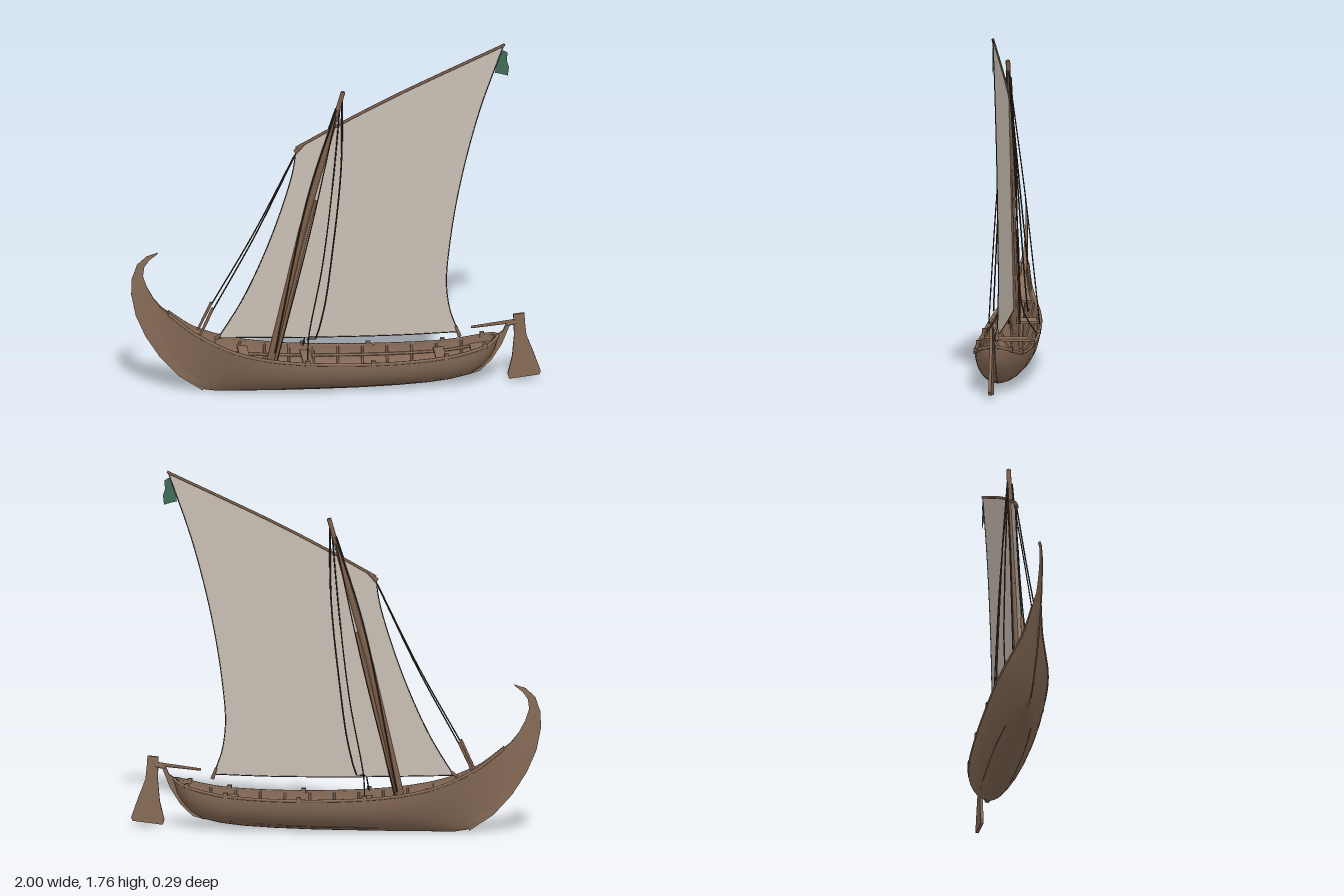
import * as THREE from 'three';
import { toCreasedNormals } from 'three/addons/utils/BufferGeometryUtils.js';

const mat = (name, color) =>
  new THREE.MeshStandardMaterial({ name, color, side: THREE.DoubleSide });

// Hull stations: x, half width, gunwale height, keel height, V-shape amount
const STATIONS = [
  [-0.88, 0.009, 0.47, 0.24, 1], [-0.82, 0.022, 0.42, 0.15, 1], [-0.76, 0.034, 0.37, 0.09, 1],
  [-0.7, 0.048, 0.325, 0.045, 0.9], [-0.64, 0.066, 0.293, 0.014, 0.75], [-0.58, 0.084, 0.265, 0.004, 0.6],
  [-0.5, 0.106, 0.235, 0.003, 0.4], [-0.4, 0.123, 0.21, 0.003, 0.2], [-0.28, 0.133, 0.19, 0.003, 0.05],
  [-0.1, 0.139, 0.174, 0.004, 0], [0.1, 0.14, 0.166, 0.005, 0], [0.3, 0.134, 0.166, 0.01, 0],
  [0.45, 0.124, 0.172, 0.018, 0], [0.56, 0.112, 0.182, 0.03, 0], [0.65, 0.1, 0.198, 0.05, 0],
  [0.71, 0.086, 0.213, 0.088, 0.1], [0.75, 0.068, 0.226, 0.132, 0.2], [0.775, 0.044, 0.236, 0.175, 0.3],
  [0.79, 0.012, 0.242, 0.225, 0.4],
];

function station(x) {
  let i = 0;
  while (i < STATIONS.length - 2 && STATIONS[i + 1][0] < x) i++;
  const a = STATIONS[i], b = STATIONS[i + 1];
  const t = THREE.MathUtils.clamp((x - a[0]) / (b[0] - a[0]), 0, 1);
  const [, w, s, k, v] = a.map((n, j) => n + (b[j] - n) * t);
  return { w, s, k, v };
}

// Half width of a section at height fraction f
const flare = (f, v) => (1 - v) * Math.sqrt(Math.max(0, 1 - (1 - f) ** 2)) + v * f;
const halfAt = (x, y) => {
  const { w, s, k, v } = station(x);
  return w * flare(THREE.MathUtils.clamp((y - k) / (s - k), 0, 1), v);
};

// Skin closed rings of equal length, with both ends capped
function loft(rings, crease = 0.7) {
  const n = rings[0].length, index = [];
  for (let i = 0; i < rings.length - 1; i++)
    for (let j = 0; j < n; j++) {
      const a = i * n + j, b = i * n + (j + 1) % n;
      index.push(a, b, a + n, b, b + n, a + n);
    }
  if (n < 5) {
    const e = (rings.length - 1) * n;
    for (let j = 1; j < n - 1; j++) index.push(0, j + 1, j, e, e + j, e + j + 1);
  }
  const g = new THREE.BufferGeometry();
  g.setAttribute('position', new THREE.Float32BufferAttribute(rings.flat(2), 3));
  g.setIndex(index);
  return toCreasedNormals(g, crease);
}

function hullRing(x) {
  const { w, s, k, v } = station(x), N = 10, outer = [], inner = [];
  const wi = Math.max(0.001, w - 0.011), ki = Math.min(k + 0.016, s - 0.004);
  for (let i = -N; i <= N; i++) {
    const f = 1 - Math.cos(Math.abs(i) / N * Math.PI / 2), z = Math.sign(i) * flare(f, v);
    outer.push([x, k + (s - k) * f, w * z]);
    inner.unshift([x, ki + (s - ki) * f, wi * z]);
  }
  return outer.concat(inner);
}

export function createModel() {
  const model = new THREE.Group();
  model.name = 'sailingBoat';
  const wood = mat('hullWood', 0x876b57);
  const spar = mat('sparWood', 0x7d5f4a);
  const cloth = mat('sailCloth', 0xc9bfb4);
  const rope = mat('darkRope', 0x40362e);
  const green = mat('pennantGreen', 0x3f6b57);

  const add = (name, geometry, material) => {
    const m = new THREE.Mesh(geometry, material);
    m.name = name;
    model.add(m);
    return m;
  };
  const V = p => new THREE.Vector3(...p);
  const tube = (name, pts, r, material, seg = 24) => add(name,
    new THREE.TubeGeometry(new THREE.CatmullRomCurve3(pts.map(V)), seg, r, 6), material);
  const pole = (name, a, b, ra, rb, material) => {
    const d = V(b).sub(V(a));
    const m = add(name, new THREE.CylinderGeometry(rb, ra, d.length(), 10), material);
    m.position.copy(V(a)).addScaledVector(d, 0.5);
    m.quaternion.setFromUnitVectors(new THREE.Vector3(0, 1, 0), d.normalize());
    return m;
  };
  const board = (name, pts, depth, material) => {
    const shape = new THREE.Shape(pts.map(p => new THREE.Vector2(...p)));
    const g = new THREE.ExtrudeGeometry(shape, { depth, bevelEnabled: false });
    return add(name, g.translate(0, 0, -depth / 2), material);
  };

  // Hull shell and gunwales
  add('hull', loft(STATIONS.map(s => hullRing(s[0]))), wood);
  for (const side of [-1, 1])
    tube('gunwale', STATIONS.slice(1).map(([x, w, s]) => [x, s, side * (w - 0.004)]), 0.008, wood, 60);

  // Curled stem: outer edge, inner edge, half thickness
  const stem = [
    [-0.868, 0.735, -0.875, 0.725, 0.002], [-0.925, 0.717, -0.912, 0.697, 0.003],
    [-0.972, 0.675, -0.937, 0.662, 0.004], [-0.998, 0.6, -0.943, 0.615, 0.005],
    [-1, 0.52, -0.925, 0.56, 0.006], [-0.978, 0.41, -0.89, 0.495, 0.008],
    [-0.93, 0.3, -0.845, 0.44, 0.011], [-0.86, 0.19, -0.8, 0.4, 0.012],
    [-0.77, 0.09, -0.75, 0.28, 0.01], [-0.65, 0.008, -0.64, 0.05, 0.006],
  ];
  add('stem', loft(stem.map(([a, b, c, d, t]) =>
    [[a, b, -t * 0.3], [a, b, t * 0.3], [c, d, t], [c, d, -t]])), wood);

  // Flat boards fitted between the hull sides
  const deck = (name, x0, x1, height, inset = 0.008) => {
    const rings = [];
    for (let i = 0; i <= 8; i++) {
      const x = x0 + (x1 - x0) * i / 8, y = height(station(x));
      const z = Math.max(0.002, halfAt(x, y) - inset);
      rings.push([[x, y, -z], [x, y, z], [x, y - 0.012, z], [x, y - 0.012, -z]]);
    }
    add(name, loft(rings), wood);
  };
  deck('foreDeck', -0.82, -0.64, s => s.s - 0.03);
  deck('sternDeck', 0.66, 0.765, s => s.s - 0.03);
  deck('floorBoards', -0.55, 0.66, s => s.k + 0.035, 0.012);
  for (const x of [-0.45, -0.14, 0.51])
    deck('thwart', x - 0.025, x + 0.025, s => s.s - 0.025);

  // Ribs and inner stringers
  for (let x = -0.58; x < 0.66; x += 0.12) {
    const { w, s, k, v } = station(x), pts = [];
    for (let i = -6; i <= 6; i++) {
      const f = 1 - Math.cos(Math.abs(i) / 6 * Math.PI / 2);
      pts.push([x, k + 0.02 + (s - k - 0.024) * f, Math.sign(i) * (w - 0.013) * flare(f, v)]);
    }
    tube('rib', pts, 0.006, wood, 20);
  }
  for (const side of [-1, 1]) {
    const pts = [];
    for (let x = -0.6; x < 0.72; x += 0.1) {
      const { s, k } = station(x), y = s - (s - k) * 0.28;
      pts.push([x, y, side * (halfAt(x, y) - 0.015)]);
    }
    tube('stringer', pts, 0.007, wood, 30);
    // Cleats on the rail
    for (const x of [-0.15, 0.17, 0.53, 0.72]) {
      const { w, s } = station(x);
      add('cleat', new THREE.BoxGeometry(0.022, 0.026, 0.02), wood).position.set(x, s + 0.004, side * (w - 0.005));
    }
  }

  // Stern post, rudder and tiller
  board('sternPost', [[0.64, 0.045], [0.7, 0.062], [0.76, 0.12], [0.81, 0.2], [0.852, 0.305],
    [0.835, 0.31], [0.815, 0.265], [0.77, 0.235], [0.72, 0.13]], 0.016, wood);
  board('rudder', [[0.866, 0.35], [0.92, 0.355], [0.924, 0.3], [0.93, 0.24], [0.965, 0.15], [1, 0.05],
    [0.992, 0.033], [0.845, 0.016], [0.838, 0.04], [0.86, 0.13], [0.87, 0.24]], 0.014, wood);
  pole('tiller', [0.66, 0.29, 0], [0.88, 0.315, 0], 0.006, 0.01, spar);
  pole('rudderPin', [0.83, 0.3, 0], [0.88, 0.31, 0], 0.012, 0.012, wood);

  // Raked mast, its lashed spar and the long yard
  pole('mastFoot', [-0.345, 0.04, 0], [-0.165, 0.83, 0], 0.021, 0.017, spar);
  pole('mastHead', [-0.165, 0.83, 0], [0.035, 1.54, 0], 0.017, 0.011, spar);
  pole('lashedSpar', [-0.3, 0.15, 0], [-0.1, 0.98, 0], 0.012, 0.007, spar);
  tube('yard', [[-0.195, 1.255, 0], [-0.15, 1.28, 0], [0.03, 1.378, 0], [0.3, 1.515, 0], [0.825, 1.757, 0]], 0.007, spar, 40);
  pole('yardHeel', [-0.2, 1.235, 0], [-0.16, 1.275, 0], 0.012, 0.009, spar);

  // Sail and its edge ropes
  const head = [[-0.195, 1.25], [-0.15, 1.28], [0.03, 1.378], [0.3, 1.515], [0.82, 1.755]];
  const leech = [[0.82, 1.755], [0.7, 1.41], [0.605, 1.03], [0.555, 0.72], [0.54, 0.52], [0.558, 0.38], [0.592, 0.285]];
  const foot = [[0.592, 0.268], [0.3, 0.262], [-0.1, 0.266], [-0.575, 0.28]];
  const luff = [[-0.575, 0.28], [-0.46, 0.47], [-0.35, 0.71], [-0.26, 0.96], [-0.21, 1.14], [-0.195, 1.25]];
  const to3 = pts => pts.map(([x, y]) => [x, y, 0]);
  const smooth = pts => new THREE.CatmullRomCurve3(to3(pts).map(V)).getPoints(16);
  const outline = [head, leech, foot, luff].flatMap(e => smooth(e).slice(0, -1))
    .map(p => new THREE.Vector2(p.x, p.y));
  add('sail', new THREE.ShapeGeometry(new THREE.Shape(outline)), cloth);
  for (const edge of [leech, foot, luff]) tube('sailEdgeRope', to3(edge), 0.0025, rope, 32);
  pole('clewToggle', [0.585, 0.3, 0], [0.604, 0.245, 0], 0.006, 0.01, spar);
  pole('tackToggle', [-0.59, 0.275, 0], [-0.565, 0.295, 0], 0.008, 0.008, spar);

  // Pennant at the yard tip
  add('pennant', new THREE.ShapeGeometry(new THREE.Shape([[0.815, 1.728], [0.838, 1.715], [0.835, 1.67],
    [0.845, 1.64], [0.84, 1.595], [0.8, 1.607], [0.777, 1.612], [0.782, 1.65], [0.792, 1.69]]
    .map(p => new THREE.Vector2(...p)))), green);

  // Standing rigging on both sides
  for (const z of [-1, 1]) {
    tube('mainShroud', [[0.03, 1.49, 0.005 * z], [0.022, 1.15, 0.03 * z], [-0.02, 0.75, 0.055 * z],
      [-0.07, 0.42, 0.075 * z], [-0.12, 0.275, 0.085 * z], [-0.15, 0.29, 0.085 * z]], 0.004, rope);
    tube('innerShroud', [[0.02, 1.47, 0.005 * z], [-0.02, 1.05, 0.025 * z], [-0.07, 0.65, 0.04 * z],
      [-0.14, 0.28, 0.06 * z], [-0.15, 0.18, 0.12 * z]], 0.0035, rope);
    tube('mastShroud', [[0.01, 1.46, 0.005 * z], [-0.13, 0.85, 0.07 * z], [-0.3, 0.195, 0.125 * z]], 0.003, rope);
    tube('halyard', [[0.0, 1.45, 0.012 * z], [-0.14, 1.0, 0.02 * z], [-0.3, 0.2, 0.026 * z]], 0.004, rope);
    // Fore tackle with its wooden block
    tube('foreTackle', [[-0.2, 1.22, 0.004 * z], [-0.4, 0.81, 0.022 * z], [-0.605, 0.44, 0.038 * z]], 0.0035, rope);
    pole('tackleBlock', [-0.605, 0.45, 0.038 * z], [-0.67, 0.31, 0.045 * z], 0.008, 0.006, spar);
  }
  return model;
}
